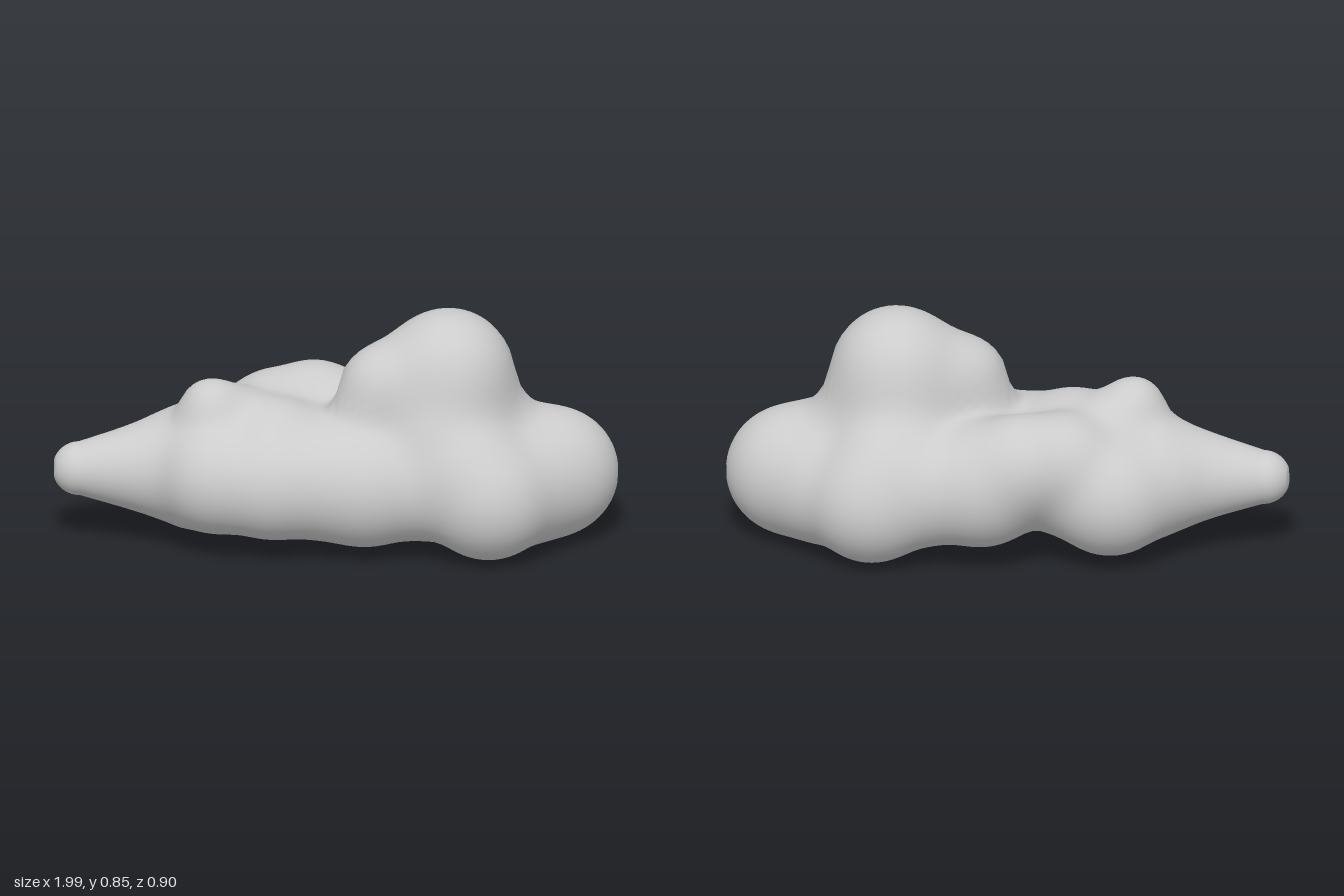
import * as THREE from 'three';

// Puffs of the cloud: x, y, z, radius
const PUFFS = [
  // left part
  [-0.37, 0.247, -0.18, 0.22], [-0.42, 0.28, 0.115, 0.205], [-0.40, 0.25, -0.02, 0.21],
  [-0.53, 0.27, -0.09, 0.17],
  // small bump on top of it
  [-0.44, 0.505, 0.03, 0.11], [-0.36, 0.415, -0.02, 0.15],
  // waist
  [-0.23, 0.27, 0.155, 0.21], [-0.21, 0.30, -0.15, 0.20], [-0.22, 0.37, 0.06, 0.17],
  [-0.15, 0.28, 0, 0.21], [-0.06, 0.27, 0.14, 0.21],
  // ridge along the back
  [-0.06, 0.385, -0.25, 0.185], [-0.21, 0.39, -0.20, 0.165],
  // middle
  [0.10, 0.255, 0.15, 0.23], [0.08, 0.29, -0.21, 0.23], [0.10, 0.265, 0, 0.22],
  [0.30, 0.26, 0.15, 0.21], [0.28, 0.27, -0.20, 0.21], [0.35, 0.25, 0, 0.21],
  // right pair, lower and upper
  [0.53, 0.222, 0.235, 0.225], [0.47, 0.222, -0.235, 0.225], [0.55, 0.225, 0, 0.21],
  [0.45, 0.315, 0.20, 0.20], [0.42, 0.32, -0.20, 0.20],
  // right end
  [0.775, 0.235, 0, 0.235], [0.66, 0.23, 0.10, 0.22], [0.64, 0.23, -0.10, 0.22],
  // tower with its flared foot and shoulder
  [0.40, 0.617, 0.02, 0.24], [0.40, 0.44, 0.02, 0.25], [0.55, 0.41, 0, 0.16],
  [0.36, 0.42, 0.11, 0.20], [0.38, 0.41, -0.08, 0.20],
  [0.15, 0.585, 0.06, 0.14], [0.13, 0.45, 0.06, 0.14], [0.24, 0.58, 0.04, 0.17],
];
const TAIL = { x0: -0.9, x1: -0.55, y: 0.268, r0: 0.105, r1: 0.21 };
const BLEND = 0.03, INSET = 0.01, AXIS_Y = 0.25;

// Distance to the softly blended puffs and tapering tail
function field(x, y, z) {
  let sum = 0;
  for (const [px, py, pz, r] of PUFFS) {
    sum += Math.exp((r - Math.hypot(x - px, y - py, z - pz)) / BLEND);
  }
  const t = THREE.MathUtils.clamp((x - TAIL.x0) / (TAIL.x1 - TAIL.x0), 0, 1);
  const tx = THREE.MathUtils.lerp(TAIL.x0, TAIL.x1, t);
  const tr = THREE.MathUtils.lerp(TAIL.r0, TAIL.r1, t);
  sum += Math.exp((tr - Math.hypot(x - tx, y - TAIL.y, z + 0.02)) / BLEND);
  return INSET - BLEND * Math.log(sum);
}

// Walk inward until the field is entered, then refine
function surfaceAt(f, far) {
  const step = 0.015;
  let t = far;
  while (t > 0 && f(t) > 0) t -= step;
  if (t <= 0) return 0;
  let lo = t, hi = t + step;
  for (let i = 0; i < 14; i++) {
    const mid = (lo + hi) / 2;
    if (f(mid) > 0) hi = mid; else lo = mid;
  }
  return lo;
}

// Cross-sections along x, closed to a point at both ends
function cloudGeometry(rings, sides) {
  const left = -surfaceAt((t) => field(-t, AXIS_Y, 0), 1.3);
  const right = surfaceAt((t) => field(t, AXIS_Y, 0), 1.3);
  const pos = [], index = [];
  for (let i = 0; i <= rings; i++) {
    // rings gather towards both ends
    const u = i / rings;
    const x = THREE.MathUtils.lerp(left, right, 0.2 * u + 0.4 * (1 - Math.cos(Math.PI * u)));
    const isEnd = i === 0 || i === rings;
    for (let j = 0; j < sides; j++) {
      const a = (j / sides) * Math.PI * 2, c = Math.cos(a), s = Math.sin(a);
      const r = isEnd ? 0 : surfaceAt((t) => field(x, AXIS_Y + t * c, t * s), 0.8);
      pos.push(x, AXIS_Y + r * c, r * s);
      if (i === rings) continue;
      const A = i * sides + j, B = i * sides + (j + 1) % sides, C = A + sides, D = B + sides;
      if (i > 0) index.push(A, B, C);
      if (i < rings - 1) index.push(B, D, C);
    }
  }
  const g = new THREE.BufferGeometry();
  g.setAttribute('position', new THREE.Float32BufferAttribute(pos, 3));
  g.setIndex(index);
  g.computeVertexNormals();
  return g;
}

export function createModel() {
  const group = new THREE.Group();
  group.name = 'cloud';
  const body = new THREE.Mesh(
    cloudGeometry(110, 72),
    new THREE.MeshStandardMaterial({ color: 0xcccccc })
  );
  body.name = 'cloudBody';
  group.add(body);
  return group;
}
